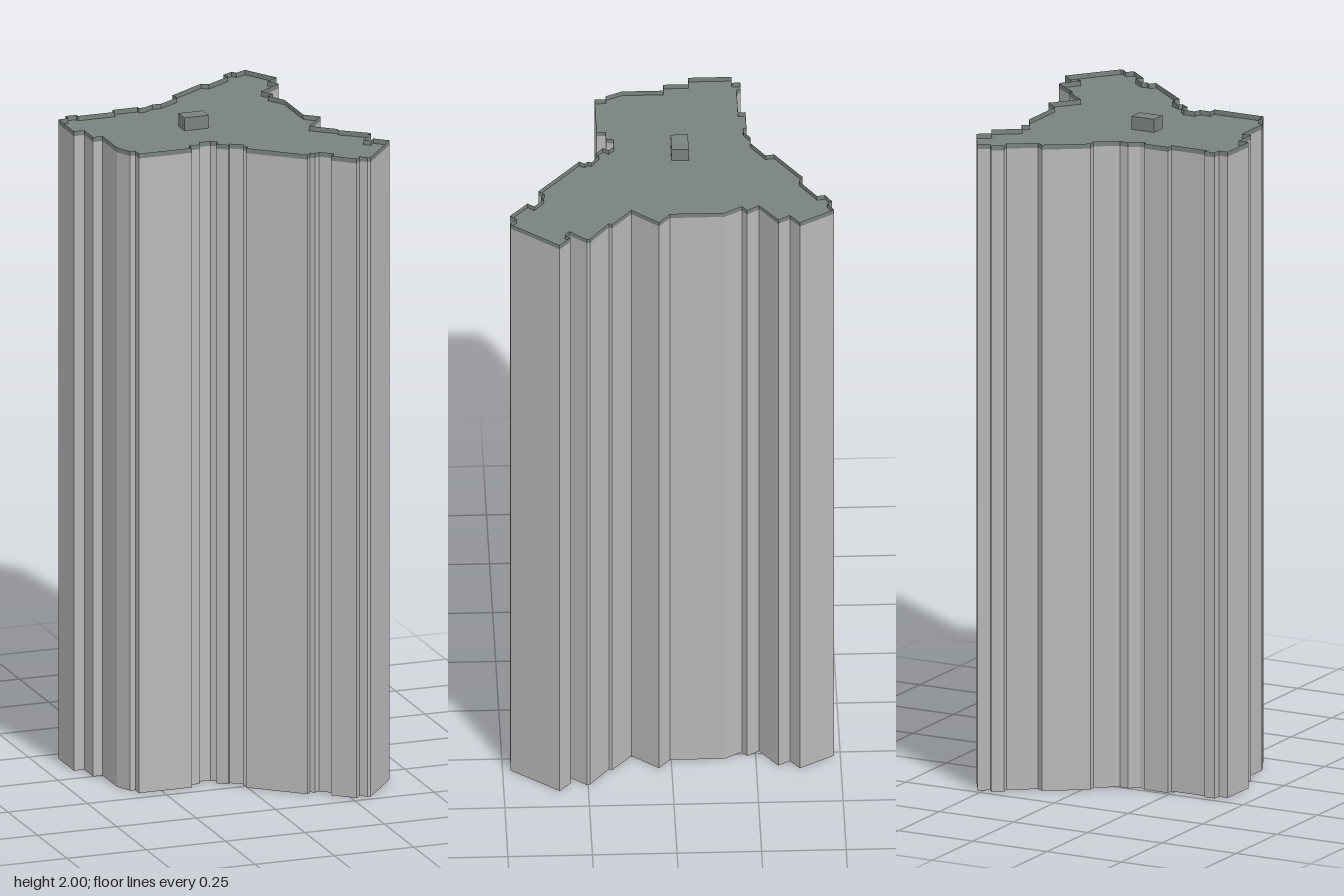
import * as THREE from 'three';

// Floor plan [x, z], clockwise seen from above, one list per wing
const backOfLeftWing = [
  [-0.422, -0.203], [-0.392, -0.203], [-0.392, -0.228], [-0.357, -0.228], [-0.357, -0.216],
  [-0.24, -0.216], [-0.24, -0.238], [-0.16, -0.238], [-0.16, -0.228], [-0.141, -0.228],
];
const backWing = [
  [-0.11, -0.248], [-0.083, -0.246], [-0.017, -0.289], [-0.021, -0.315], [0.098, -0.395],
  [0.118, -0.383], [0.197, -0.434], [0.192, -0.457], [0.225, -0.477], [0.235, -0.462],
  [0.268, -0.481], [0.329, -0.378], [0.291, -0.35], [0.313, -0.315], [0.237, -0.261],
  [0.261, -0.225], [0.24, -0.21], [0.272, -0.157], [0.272, 0.003],
];
const frontWing = [
  [0.313, 0.038], [0.248, 0.117], [0.318, 0.176], [0.314, 0.186], [0.39, 0.244],
  [0.392, 0.254], [0.35, 0.305], [0.368, 0.318], [0.382, 0.302], [0.42, 0.335],
  [0.309, 0.476], [0.3, 0.475], [0.281, 0.457], [0.265, 0.476], [0.204, 0.422],
  [0.22, 0.403], [0.184, 0.373], [0.169, 0.381], [0.157, 0.371], [0.143, 0.388],
  [-0.005, 0.262], [0.006, 0.246], [-0.004, 0.236], [0.001, 0.226], [-0.034, 0.203],
  [-0.042, 0.213], [-0.072, 0.19], [-0.06, 0.173],
];
const frontOfLeftWing = [
  [-0.077, 0.157], [-0.114, 0.157], [-0.12, 0.179], [-0.154, 0.179], [-0.154, 0.205],
  [-0.32, 0.205], [-0.32, 0.172], [-0.336, 0.172], [-0.359, 0.123], [-0.359, 0],
  [-0.389, 0], [-0.389, -0.075], [-0.422, -0.075],
];
const plan = [...backOfLeftWing, ...backWing, ...frontWing, ...frontOfLeftWing];

const ROOF_Y = 1.96;
const PARAPET_Y = 1.975;

// Flat-shaded vertical band following the plan
function band(y0, y1) {
  const pos = [];
  plan.forEach(([ax, az], i) => {
    const [bx, bz] = plan[(i + 1) % plan.length];
    pos.push(ax, y0, az, ax, y1, az, bx, y1, bz);
    pos.push(ax, y0, az, bx, y1, bz, bx, y0, bz);
  });
  const geo = new THREE.BufferGeometry();
  geo.setAttribute('position', new THREE.Float32BufferAttribute(pos, 3));
  geo.computeVertexNormals();
  return geo;
}

export function createModel() {
  const group = new THREE.Group();
  group.name = 'tower';

  const wallMat = new THREE.MeshStandardMaterial({ color: 0xb8b8b8, side: THREE.DoubleSide });
  wallMat.name = 'wall grey';
  const roofMat = new THREE.MeshStandardMaterial({ color: 0x7a827e, side: THREE.DoubleSide });
  roofMat.name = 'roof grey green';

  const add = (name, geo, mat) => {
    const mesh = new THREE.Mesh(geo, mat);
    mesh.name = name;
    group.add(mesh);
    return mesh;
  };

  // Walls are an open shell, without a floor
  add('walls', band(0, ROOF_Y), wallMat);

  // Thin parapet around a slightly sunken roof
  add('parapet', band(ROOF_Y, PARAPET_Y), roofMat);
  const shape = new THREE.Shape(plan.map(([x, z]) => new THREE.Vector2(x, -z)));
  const roof = new THREE.ShapeGeometry(shape);
  roof.rotateX(-Math.PI / 2);
  roof.translate(0, ROOF_Y, 0);
  add('roof', roof, roofMat);

  // Small plant room on the roof
  const height = 2 - ROOF_Y;
  add('roofHousing', new THREE.BoxGeometry(0.076, height, 0.051), roofMat)
    .position.set(-0.059, ROOF_Y + height / 2, -0.037);

  return group;
}
